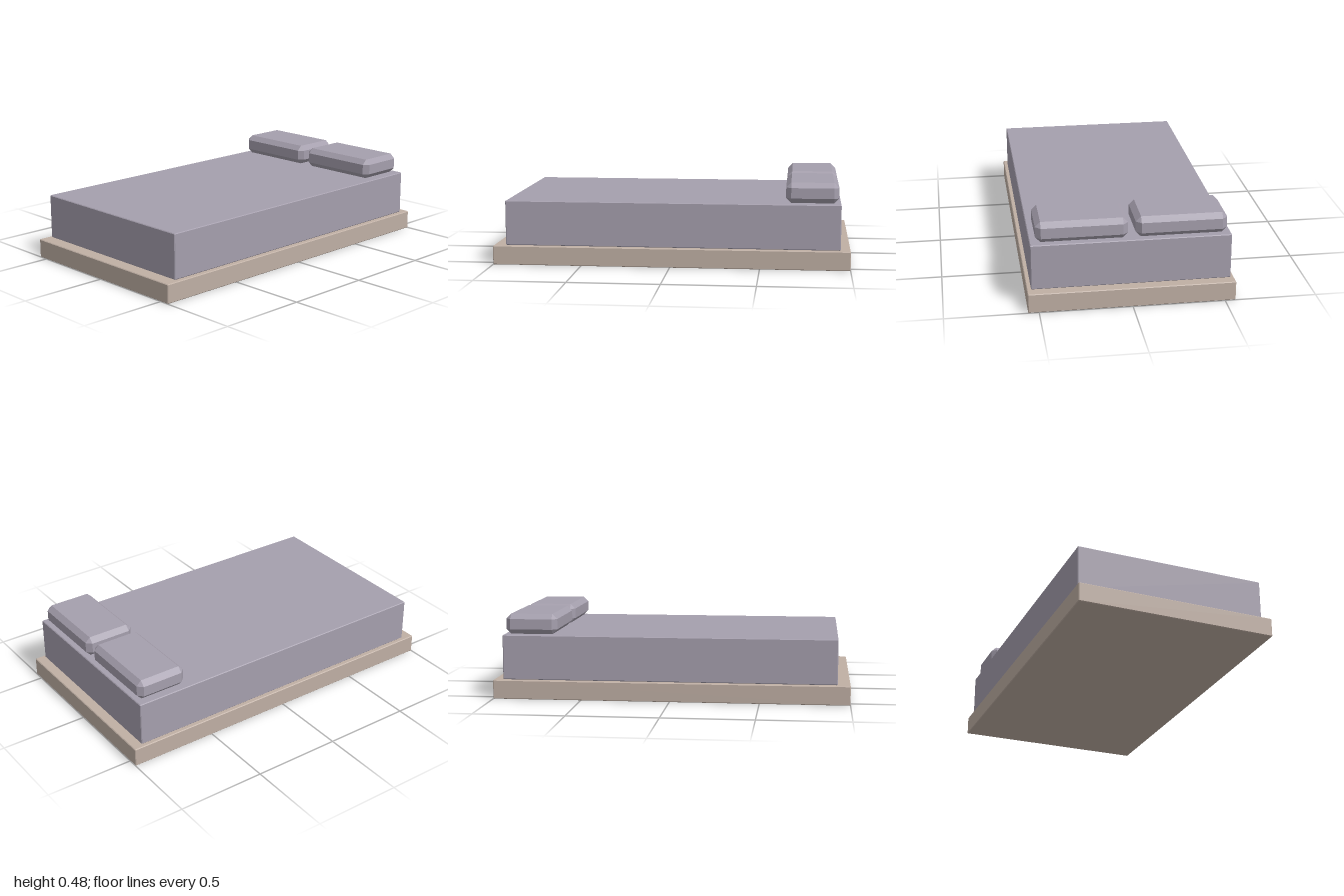
import * as THREE from 'three';
import { ConvexGeometry } from 'three/addons/geometries/ConvexGeometry.js';

const wood = new THREE.MeshStandardMaterial({ name: 'pale wood', color: 0xbfafa4 });
const fabric = new THREE.MeshStandardMaterial({ name: 'lilac grey fabric', color: 0xa59fad });

// Box with a single flat chamfer along every edge, given by its centre and size
function chamferedBox(name, material, size, centre, bevel) {
  const half = size.map((s) => s / 2);
  const points = [];
  for (const sx of [-1, 1]) for (const sy of [-1, 1]) for (const sz of [-1, 1]) {
    const sign = [sx, sy, sz];
    for (let full = 0; full < 3; full++) {
      points.push(new THREE.Vector3(...sign.map((s, i) => s * (half[i] - (i === full ? 0 : bevel)))));
    }
  }
  const mesh = new THREE.Mesh(new ConvexGeometry(points), material);
  mesh.name = name;
  mesh.position.set(...centre);
  return mesh;
}

export function createModel() {
  const bed = new THREE.Group();
  bed.name = 'bed';

  // Low platform and the mattress on it
  bed.add(chamferedBox('bedBase', wood, [1.116, 0.107, 2], [0, 0.0535, 0], 0.004));
  bed.add(chamferedBox('mattress', fabric, [1.074, 0.252, 1.875], [-0.001, 0.235, -0.008], 0.004));

  // Pair of pillows at the back end
  for (const [name, x] of [['rightPillow', -0.271], ['leftPillow', 0.26]]) {
    bed.add(chamferedBox(name, fabric, [0.491, 0.114, 0.292], [x, 0.42, -0.787], 0.028));
  }
  return bed;
}
